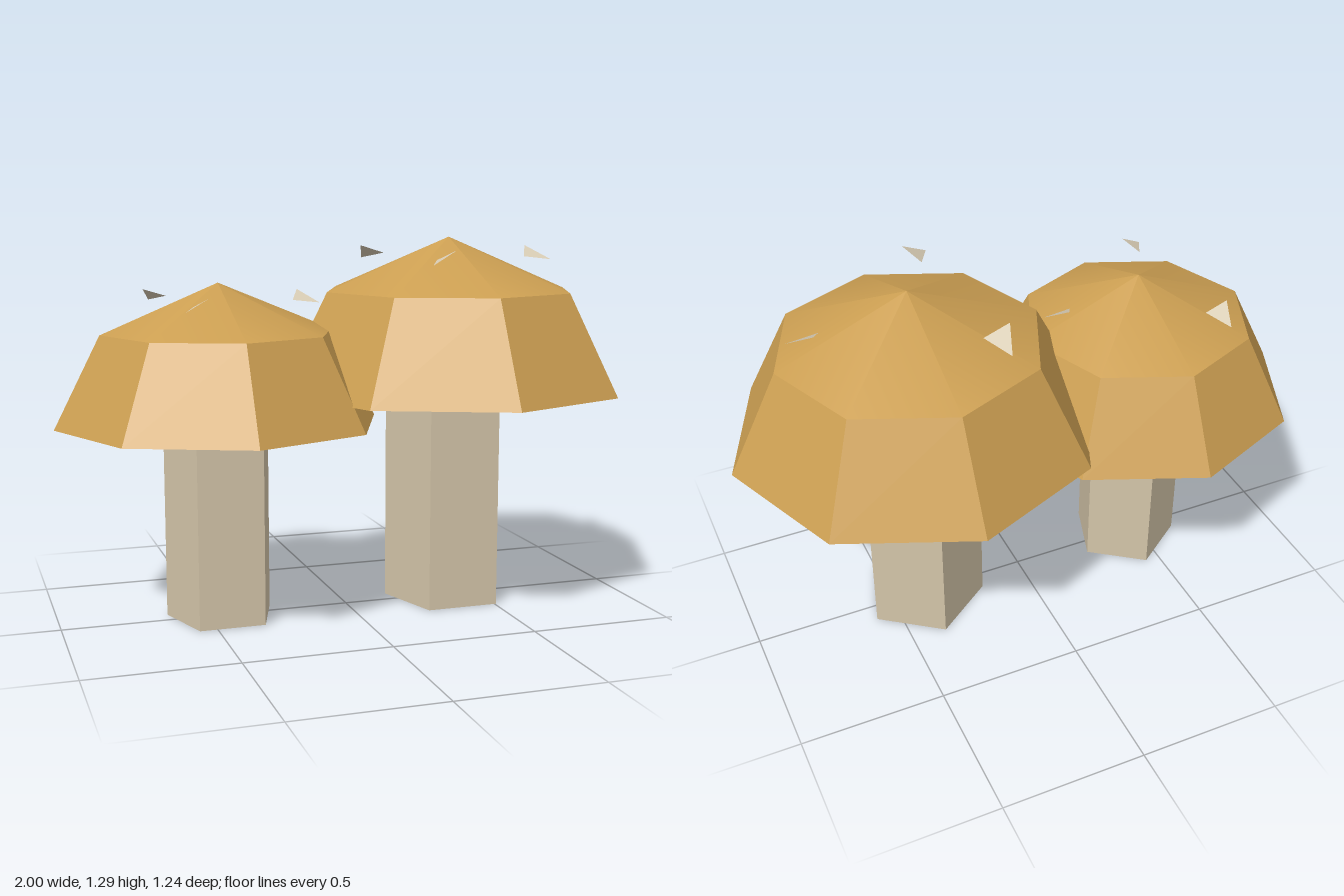
import * as THREE from 'three';

const stemMat = new THREE.MeshStandardMaterial({ color: 0xd4c5a9 });
stemMat.name = 'cream';
const capMat = new THREE.MeshStandardMaterial({ color: 0xcc9f52 });
capMat.name = 'ochre';
const spotMat = new THREE.MeshStandardMaterial({ color: 0xd8ccb4, side: THREE.DoubleSide });
spotMat.name = 'pale spot';

// Corners of the three loose triangular flecks, relative to the stem axis
const FLECKS = [
  [[-0.204, 1.209, -0.352], [-0.242, 1.257, -0.247], [-0.151, 1.229, -0.253]],
  [[0.33, 1.257, -0.08], [0.293, 1.22, -0.006], [0.4, 1.208, -0.006]],
  [[-0.145, 1.223, 0.255], [-0.194, 1.209, 0.347], [-0.103, 1.257, 0.326]],
];

function part(name, geometry, material, y = 0) {
  const mesh = new THREE.Mesh(geometry, material);
  mesh.name = name;
  mesh.position.y = y;
  return mesh;
}

// Faceted frustum or prism with hard edges
function faceted(top, bottom, height, sides, start) {
  const g = new THREE.CylinderGeometry(top, bottom, height, sides, 1, false, start).toNonIndexed();
  g.computeVertexNormals();
  return g;
}

function fleck(corners) {
  const g = new THREE.BufferGeometry().setFromPoints(corners.map((c) => new THREE.Vector3(...c)));
  g.computeVertexNormals();
  return g;
}

function mushroom(name, x, scale) {
  const group = new THREE.Group();
  group.name = name;
  group.add(
    // five-sided stem, flat side forward
    part('stem', faceted(0.2165, 0.2165, 0.765, 5, Math.PI), stemMat, 0.3825),
    // eight-sided skirt of the cap
    part('capSkirt', faceted(0.446, 0.622, 0.345, 8, 0), capMat, 0.9345),
    // smooth-shaded crown
    part('capCrown', new THREE.ConeGeometry(0.446, 0.185, 8, 1, true), capMat, 1.1995),
  );
  FLECKS.forEach((corners, i) => group.add(part('fleck' + (i + 1), fleck(corners), spotMat)));
  group.position.x = x;
  group.scale.setScalar(scale);
  return group;
}

export function createModel() {
  const model = new THREE.Group();
  model.name = 'mushrooms';
  model.add(mushroom('largeMushroom', 0.378, 1), mushroom('smallMushroom', -0.448, 0.888));
  return model;
}
